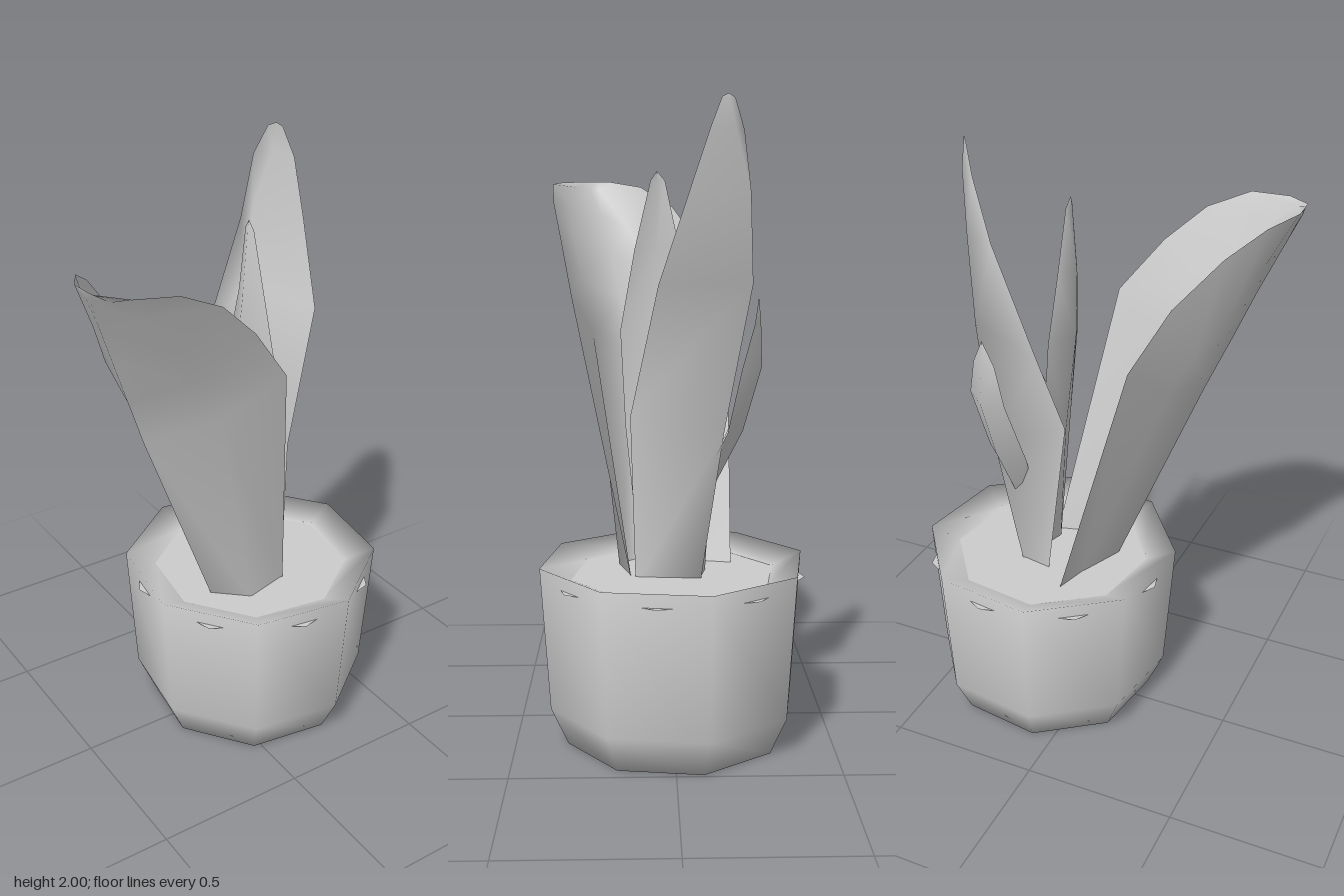
import * as THREE from 'three';

const grey = new THREE.MeshStandardMaterial({ color: 0xcccccc, side: THREE.DoubleSide });
grey.name = 'plain grey';

const POT_X = 0.155;
const POT_TURN = THREE.MathUtils.degToRad(14);

// Eight-sided turned part of the pot
function turned(name, profile, turn) {
  const points = profile.map(([r, y]) => new THREE.Vector2(r, y));
  const mesh = new THREE.Mesh(new THREE.LatheGeometry(points, 8, turn), grey);
  mesh.name = name;
  mesh.position.x = POT_X;
  return mesh;
}

// Leaf blade lofted through cross-sections, each running from one edge over the rib to the other
function leaf(name, rows) {
  const n = rows[0].length;
  const index = [];
  for (let r = 0; r < rows.length - 1; r++) {
    for (let i = 0; i < n - 1; i++) {
      const a = r * n + i, b = a + 1, c = a + n, d = c + 1;
      index.push(a, b, d, a, d, c);
    }
  }
  const geometry = new THREE.BufferGeometry();
  geometry.setAttribute('position', new THREE.Float32BufferAttribute(rows.flat(2), 3));
  geometry.setIndex(index);
  geometry.computeVertexNormals();
  const mesh = new THREE.Mesh(geometry, grey);
  mesh.name = name;
  return mesh;
}

const tip = (p) => [p, p, p];

export function createModel() {
  const group = new THREE.Group();
  group.name = 'pottedPlant';

  // Pot with a sloping rim, and a soil disc turned by half a side whose corners just pierce the wall
  group.add(
    turned('pot', [[0, 0], [0.345, 0], [0.4, 0.12], [0.43, 0.575], [0.325, 0.53]], POT_TURN),
    turned('soil', [[0.415, 0.532], [0, 0.532]], POT_TURN + Math.PI / 8)
  );

  // Broad trough-shaped leaf leaning to the side, open at the base
  group.add(leaf('broadLeaf', [
    [[0.2, 0.5, 0.13], [0.05, 0.5, 0.17], [-0.05, 0.5, 0.08], [0.01, 0.5, -0.07], [0.04, 0.5, -0.19]],
    [[0.05, 1.4, 0.32], [-0.14, 1.28, 0.26], [-0.33, 1.2, 0.13], [-0.27, 1.24, -0.03], [-0.2, 1.36, -0.19]],
    [[-0.09, 1.58, 0.36], [-0.25, 1.45, 0.3], [-0.4, 1.37, 0.17], [-0.33, 1.35, 0.02], [-0.3, 1.55, -0.11]],
    [[-0.22, 1.7, 0.39], [-0.35, 1.58, 0.33], [-0.46, 1.52, 0.2], [-0.41, 1.46, 0.06], [-0.42, 1.69, -0.01]],
    [[-0.36, 1.765, 0.4], [-0.45, 1.7, 0.35], [-0.52, 1.66, 0.24], [-0.49, 1.62, 0.15], [-0.51, 1.76, 0.1]],
    [[-0.49, 1.775, 0.375], [-0.53, 1.76, 0.33], [-0.56, 1.755, 0.28], [-0.56, 1.755, 0.25], [-0.57, 1.78, 0.21]],
    [[-0.565, 1.78, 0.31], [-0.566, 1.78, 0.3], [-0.567, 1.78, 0.28], [-0.568, 1.78, 0.25], [-0.57, 1.78, 0.21]],
  ]));

  // Tall leaf at the back
  group.add(leaf('tallLeaf', [
    [[0.2, 0.5, 0.12], [0.22, 0.5, -0.08], [0.12, 0.5, -0.1]],
    [[0.2, 1.04, 0.135], [0.28, 1.0, -0.15], [0.03, 1.1, -0.14]],
    [[0.355, 1.45, 0.05], [0.28, 1.45, -0.235], [0.1, 1.35, -0.19]],
    [[0.365, 1.72, -0.04], [0.3, 1.72, -0.225], [0.235, 1.7, -0.2]],
    [[0.367, 1.9, -0.1], [0.335, 1.91, -0.175], [0.285, 1.9, -0.205]],
    [[0.345, 1.99, -0.135], [0.335, 2.0, -0.155], [0.318, 1.99, -0.175]],
  ]));

  // Slim leaf in the middle
  group.add(leaf('slimLeaf', [
    [[0.17, 0.5, 0.1], [0.19, 0.5, 0.03], [0.17, 0.5, -0.05]],
    [[0.15, 1.0, 0.15], [0.11, 1.0, 0.03], [0.14, 1.0, -0.08]],
    [[0.13, 1.3, 0.165], [0.07, 1.35, 0.03], [0.115, 1.35, -0.08]],
    [[0.11, 1.55, 0.12], [0.075, 1.55, 0.05], [0.11, 1.55, -0.02]],
    [[0.1, 1.76, 0.07], [0.09, 1.76, 0.05], [0.1, 1.76, 0.025]],
    tip([0.095, 1.79, 0.05]),
  ]));

  // Small hanging leaf and its stem
  group.add(leaf('smallLeaf', [
    [[0.24, 0.81, -0.07], [0.22, 0.78, -0.1], [0.19, 0.81, -0.06]],
    [[0.29, 1.0, -0.16], [0.24, 1.0, -0.21], [0.16, 0.97, -0.16]],
    [[0.33, 1.2, -0.2], [0.26, 1.2, -0.265], [0.18, 1.2, -0.255]],
    [[0.29, 1.33, -0.24], [0.25, 1.34, -0.262], [0.21, 1.33, -0.255]],
    tip([0.25, 1.41, -0.255]),
  ]));
  const stemPath = new THREE.CatmullRomCurve3([
    new THREE.Vector3(0.2, 0.5, -0.06),
    new THREE.Vector3(0.2, 0.7, -0.065),
    new THREE.Vector3(0.21, 0.85, -0.09),
  ]);
  const stem = new THREE.Mesh(new THREE.TubeGeometry(stemPath, 4, 0.012, 5), grey);
  stem.name = 'stem';
  group.add(stem);

  return group;
}
